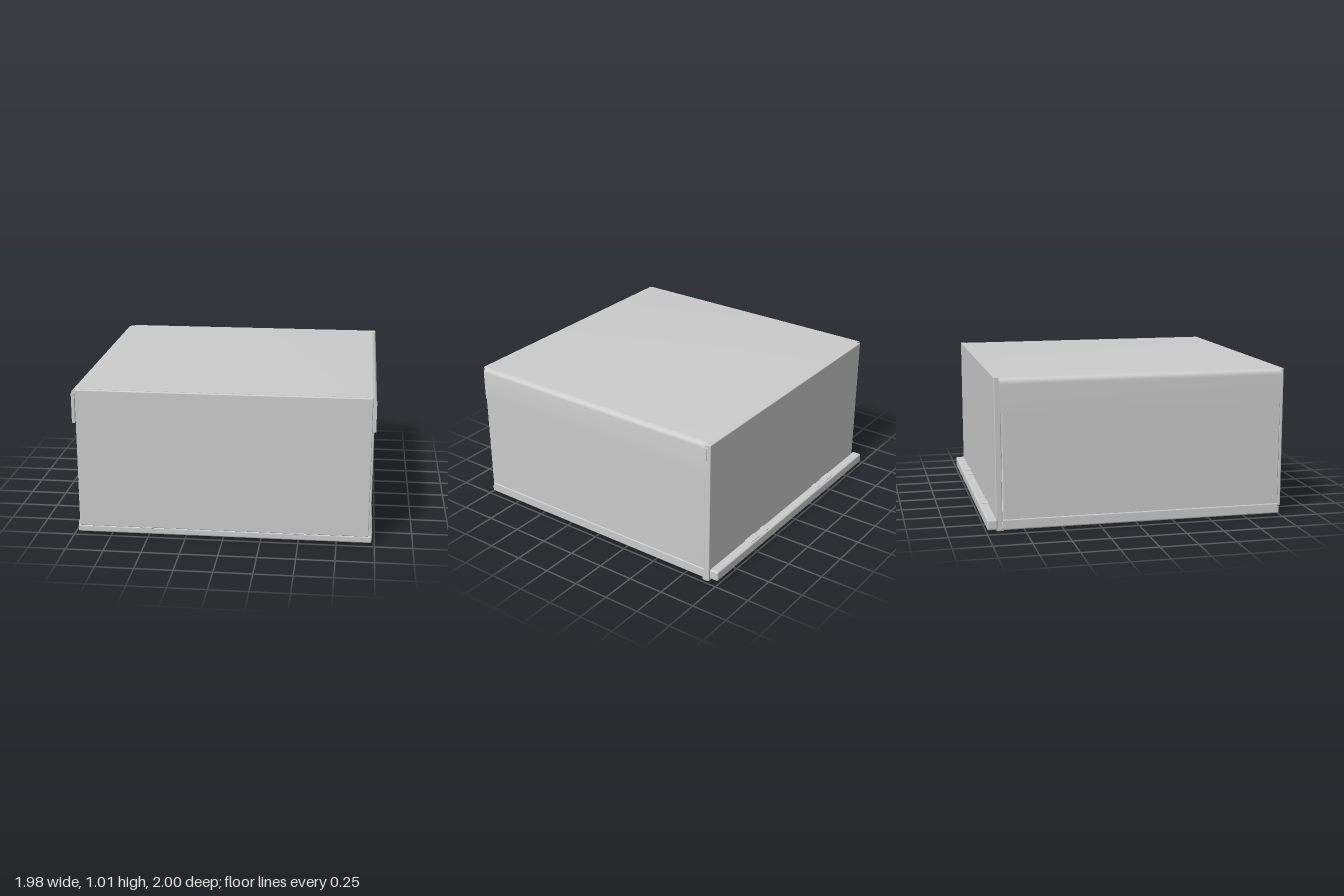
import * as THREE from 'three';
import { RoundedBoxGeometry } from 'three/addons/geometries/RoundedBoxGeometry.js';
import { toCreasedNormals } from 'three/addons/utils/BufferGeometryUtils.js';

const material = new THREE.MeshStandardMaterial({ color: 0xcccccc });

// Softly rounded panel given by its extents on each axis
function panel(name, [x0, x1], [y0, y1], [z0, z1], r = 0.006) {
  const geo = new RoundedBoxGeometry(x1 - x0, y1 - y0, z1 - z0, 2, r);
  geo.translate((x0 + x1) / 2, (y0 + y1) / 2, (z0 + z1) / 2);
  const mesh = new THREE.Mesh(geo, material);
  mesh.name = name;
  return mesh;
}

// Folded lid: top sheet with rounded shoulders and a flap down each side
function createLid() {
  const x0 = -0.99, x1 = 0.985, top = 1.01, low = 0.78, r = 0.04, t = 0.02;
  const s = new THREE.Shape();
  s.moveTo(x0, low);
  s.lineTo(x0, top - r);
  s.quadraticCurveTo(x0, top, x0 + r, top);
  s.lineTo(x1 - r, top);
  s.quadraticCurveTo(x1, top, x1, top - r);
  s.lineTo(x1, low);
  s.lineTo(x1 - t, low);
  s.lineTo(x1 - t, top - r);
  s.quadraticCurveTo(x1 - t, top - t, x1 - r, top - t);
  s.lineTo(x0 + r, top - t);
  s.quadraticCurveTo(x0 + t, top - t, x0 + t, top - r);
  s.lineTo(x0 + t, low);
  s.closePath();
  const geo = new THREE.ExtrudeGeometry(s, { depth: 1.885, bevelEnabled: false, curveSegments: 8 });
  geo.translate(0, 0, -0.91);
  const lid = new THREE.Mesh(toCreasedNormals(geo, 0.6), material);
  lid.name = 'lid';
  return lid;
}

export function createModel() {
  const box = new THREE.Group();
  box.name = 'cardboardBox';

  // Main walls, each a thin sheet
  box.add(
    createLid(),
    panel('frontPanel', [-0.96, 0.96], [0.07, 1.01], [0.972, 0.997]),
    panel('backPanel', [-0.94, 0.982], [0.008, 1.01], [-0.937, -0.895]),
    panel('leftPanel', [0.957, 0.973], [0.06, 0.98], [-0.893, 0.974]),
    panel('rightPanel', [-0.966, -0.946], [0.06, 0.98], [-0.893, 0.974])
  );

  // Base sheet with its turned-up side lips
  box.add(
    panel('base', [-0.975, 0.982], [0.02, 0.07], [-0.9, 0.986], 0.012),
    panel('rightLip', [-0.975, -0.962], [0.03, 0.09], [-0.9, 0.975]),
    panel('leftLip', [0.97, 0.982], [0.03, 0.09], [-0.9, 0.975]),
    panel('bottomSheet', [-0.935, 0.982], [0.004, 0.03], [-0.93, -0.885])
  );

  // Folded strip along the bottom of the back
  box.add(panel('backStrip', [-0.972, 0.972], [0.024, 0.094], [-0.998, -0.93], 0.012));

  // Locking tabs on the strip and under the front panel
  for (const side of [-1, 1]) {
    for (const [x, w] of [[0.5, 0.11], [0.35, 0.04]]) {
      const c = side * x;
      box.add(panel('backTab', [c - w / 2, c + w / 2], [0.07, 0.1], [-0.985, -0.932], 0.004));
    }
    const c = side * 0.5;
    box.add(panel('frontTab', [c - 0.04, c + 0.04], [0.064, 0.076], [0.965, 0.998], 0.003));
  }
  return box;
}
